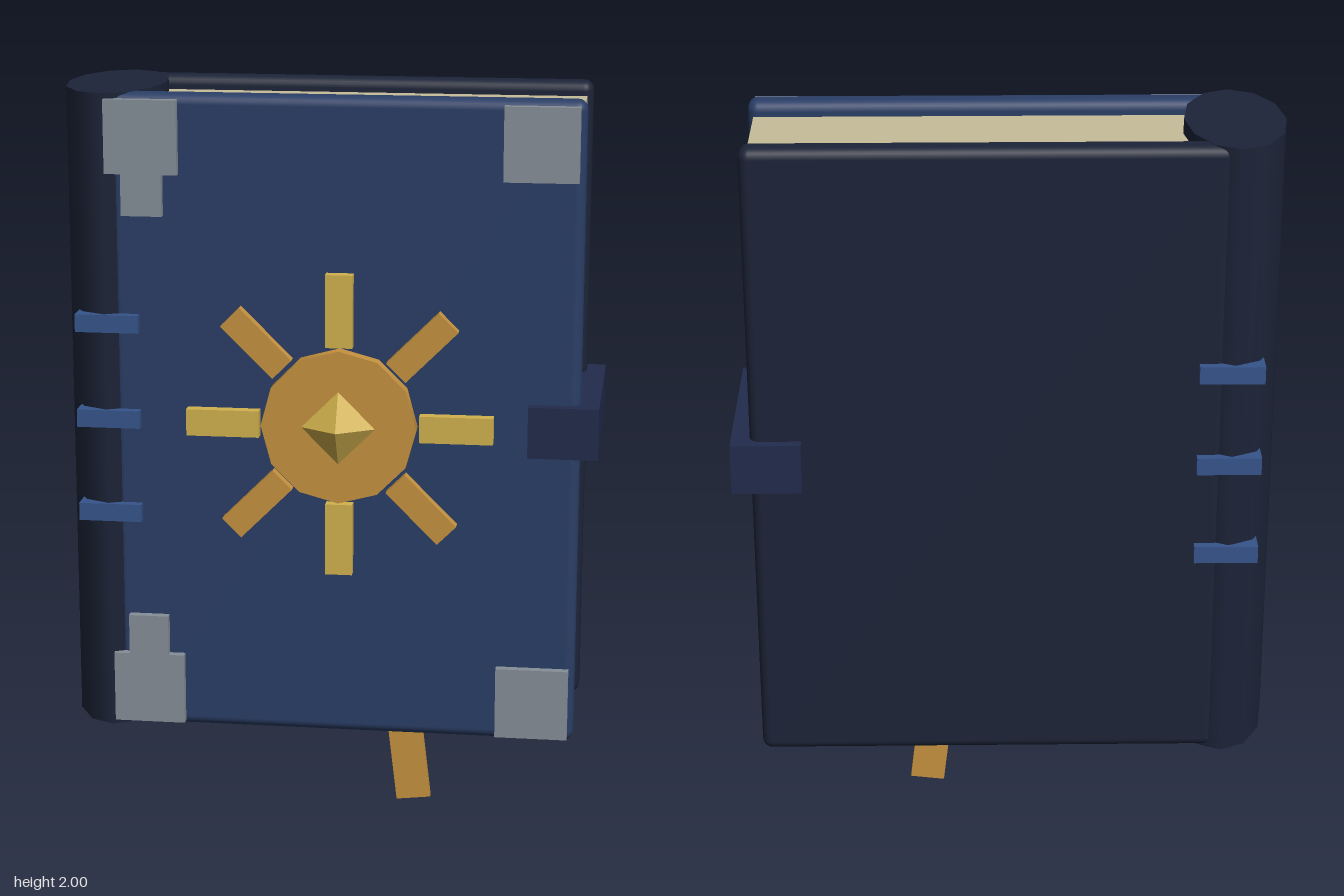
import * as THREE from 'three';
import { RoundedBoxGeometry } from 'three/addons/geometries/RoundedBoxGeometry.js';

const mat = (color, flatShading = false) => new THREE.MeshStandardMaterial({ color, flatShading });

export function createModel() {
  const book = new THREE.Group();
  book.name = 'book';
  const blue = mat(0x2a3e66), dark = mat(0x1c2438), band = mat(0x36558c), leather = mat(0x222b4c);
  const paper = mat(0xc6bd98), steel = mat(0x868f98), gold = mat(0xd2b24e, true), bronze = mat(0xc5923f);

  const add = (parent, name, geometry, material, x = 0, y = 0, z = 0) => {
    const mesh = new THREE.Mesh(geometry, material);
    mesh.name = name;
    mesh.position.set(x, y, z);
    parent.add(mesh);
    return mesh;
  };
  // Box given by its limits on each axis
  const box = (parent, name, material, [x0, x1], [y0, y1], [z0, z1]) =>
    add(parent, name, new THREE.BoxGeometry(x1 - x0, y1 - y0, z1 - z0), material,
      (x0 + x1) / 2, (y0 + y1) / 2, (z0 + z1) / 2);

  // Covers, pages and rounded spine
  const cover = new RoundedBoxGeometry(1.245, 1.738, 0.076, 3, 0.027);
  add(book, 'frontCover', cover, blue, 0.048, 1.13, 0.152);
  add(book, 'backCover', cover, dark, 0.048, 1.13, -0.228);
  box(book, 'pages', paper, [-0.57, 0.655], [0.3, 1.96], [-0.195, 0.12]);
  const spine = add(book, 'spine', new THREE.CylinderGeometry(1, 1, 1.74, 12), dark, -0.592, 1.13, -0.037);
  spine.scale.set(0.132, 1, 0.243);

  // Raised bands through the spine
  for (const y of [0.87, 1.13, 1.39])
    box(book, 'spineBand', band, [-0.67, -0.5], [y - 0.024, y + 0.024], [-0.29, 0.215]);

  // Metal corners, mirrored top and bottom; those by the spine have a tab
  for (const s of [-1, 1]) {
    const span = (a, b) => [a, b].map(v => 1.13 + s * v).sort((p, q) => p - q);
    const corner = new THREE.Group();
    corner.name = s > 0 ? 'topCorners' : 'bottomCorners';
    book.add(corner);
    const depth = [0.18, 0.213];
    box(corner, 'outerCorner', steel, [0.46, 0.655], span(0.66, 0.855), depth);
    box(corner, 'innerCorner', steel, [-0.583, -0.39], span(0.66, 0.855), depth);
    box(corner, 'cornerTab', steel, [-0.54, -0.432], span(0.55, 0.66), depth);
  }

  // Sun emblem: disc, eight rays and a pointed gem
  const sun = new THREE.Group();
  sun.name = 'sunEmblem';
  sun.position.set(0.036, 1.13, 0);
  book.add(sun);
  add(sun, 'sunDisc', new THREE.CylinderGeometry(0.207, 0.207, 0.05, 12), bronze, 0, 0, 0.205).rotation.x = Math.PI / 2;
  const ray = new THREE.BoxGeometry(0.195, 0.072, 0.035);
  for (let i = 0; i < 8; i++) {
    const a = i * Math.PI / 4;
    add(sun, 'sunRay', ray, i % 2 ? bronze : gold,
      0.311 * Math.cos(a), 0.311 * Math.sin(a), 0.204).rotation.z = a;
  }
  add(sun, 'gem', new THREE.OctahedronGeometry(1), gold, 0, 0, 0.232).scale.set(0.098, 0.098, 0.062);

  // Clasp strap around the page edge
  box(book, 'claspStrap', leather, [0.535, 0.72], [1.062, 1.2], [-0.293, 0.222]);

  // Slanted ribbon bookmark
  const tilt = 0.118, length = 0.4;
  add(book, 'ribbon', new THREE.BoxGeometry(0.095, length, 0.02), bronze,
    0.222 - Math.sin(tilt) * length / 2, 0.006 + Math.cos(tilt) * length / 2, 0.005).rotation.z = tilt;

  return book;
}
